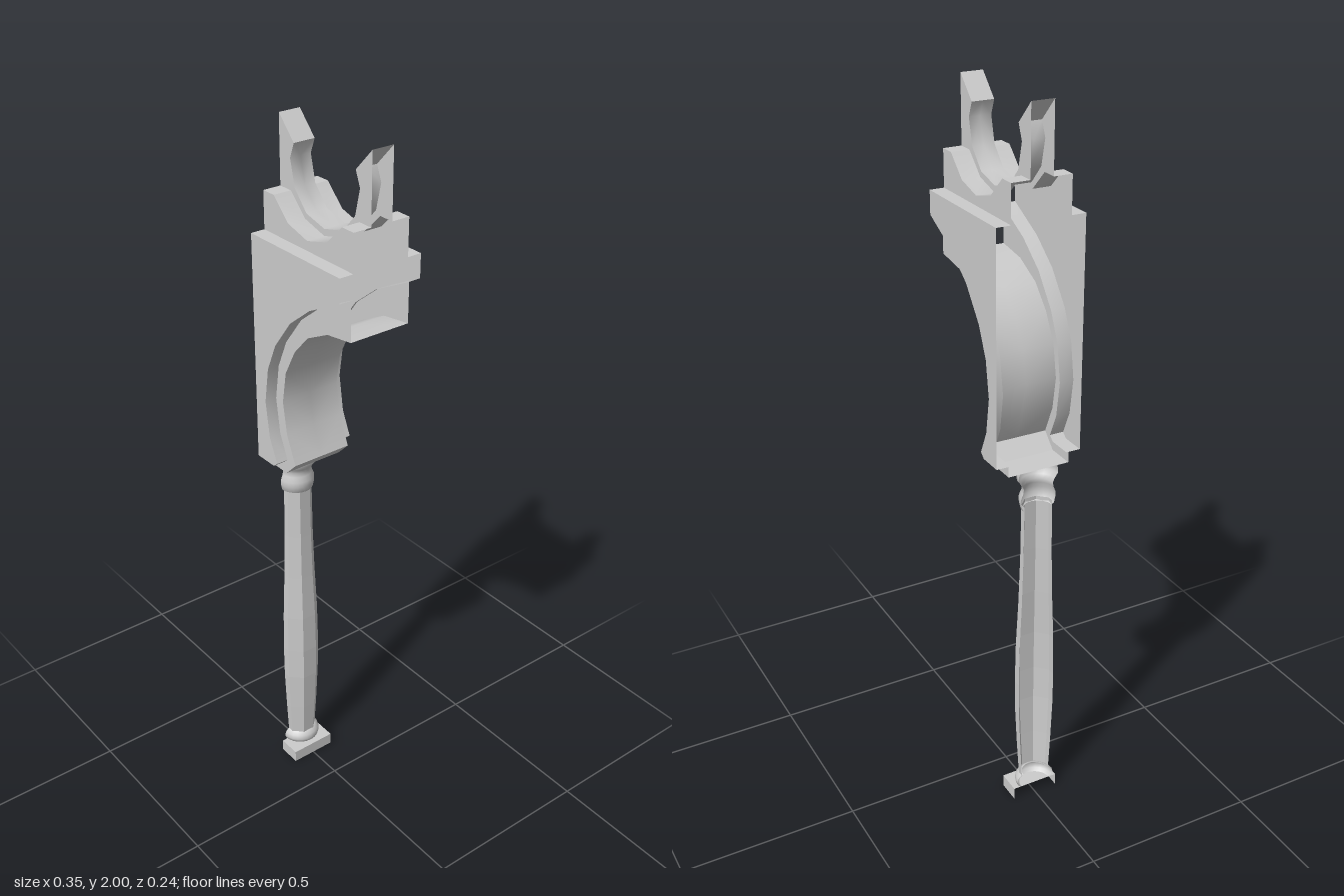
import * as THREE from 'three';
import { toCreasedNormals } from 'three/addons/utils/BufferGeometryUtils.js';

const E = 0.175; // half width: the module is left open at x = -E and x = +E
const side = THREE.DoubleSide;
const smooth = new THREE.MeshStandardMaterial({ color: 0xcccccc, side });
const faceted = new THREE.MeshStandardMaterial({ color: 0xcccccc, side, flatShading: true });

// Mirrored pair of faces at z = +-zOut, with rims along the path from zIn to zOut.
// path + closing form a counter-clockwise outline; only the path gets a rim.
function panel(name, path, closing, zIn, zOut) {
  const pos = [];
  const tri = (a, b, c) => {
    pos.push(...a, ...b, ...c);
    for (const p of [a, c, b]) pos.push(p[0], p[1], -p[2]);
  };
  const outline = [...path, ...closing].map(p => new THREE.Vector2(...p));
  const at = i => [outline[i].x, outline[i].y, zOut];
  for (const [a, b, c] of THREE.ShapeUtils.triangulateShape(outline, [])) tri(at(a), at(b), at(c));
  for (let i = 0; i < path.length - 1; i++) {
    const [a, b] = [path[i], path[i + 1]];
    if (Math.abs(a[0]) === E && a[0] === b[0]) continue; // open end
    tri([...a, zIn], [...b, zIn], [...b, zOut]);
    tri([...a, zIn], [...b, zOut], [...a, zOut]);
  }
  const geo = new THREE.BufferGeometry();
  geo.setAttribute('position', new THREE.Float32BufferAttribute(pos, 3));
  const mesh = new THREE.Mesh(toCreasedNormals(geo, 0.7), smooth);
  mesh.name = name;
  return mesh;
}

// Half of a turned form, on the +x side of the open end
function halfLathe(name, points, segments, material) {
  const geo = new THREE.LatheGeometry(points.map(p => new THREE.Vector2(...p)), segments, 0, Math.PI);
  const mesh = new THREE.Mesh(geo, material);
  mesh.position.x = -E;
  mesh.name = name;
  return mesh;
}

// Right half of a symmetric edge, continued to the left half
const mirrorPath = half => [...half, ...half.slice(0, -1).reverse().map(([x, y]) => [-x, y])];

export function createModel() {
  const model = new THREE.Group();

  // Arch: wide outer wall and a narrower soffit band below it
  const wallArch = [[-E, 1.09], [-0.105, 1.09], [-0.09, 1.103], [-0.12, 1.17], [-0.135, 1.27],
    [-0.12, 1.37], [-0.085, 1.45], [-0.02, 1.535], [0.06, 1.598], [E, 1.656]];
  const soffitArch = [[-E, 1.06], [-0.095, 1.06], [-0.055, 1.1], [-0.09, 1.18], [-0.105, 1.27],
    [-0.09, 1.36], [-0.05, 1.435], [0.005, 1.495], [0.085, 1.535], [E, 1.548]];
  model.add(panel('archWall', [...wallArch, [E, 1.72], [-E, 1.72]], [], 0.082, 0.122));
  model.add(panel('archSoffit', soffitArch, [...wallArch].reverse(), 0, 0.088));

  // Parapet: stepped collar with a scoop, and the pointed crest inside it
  const scoop = mirrorPath([[E, 1.82], [0.132, 1.82], [0.075, 1.765], [0, 1.745]]);
  const crest = mirrorPath([[E, 2], [0.117, 1.94], [0.133, 1.9], [0.116, 1.83], [0.07, 1.78], [0, 1.763]]);
  model.add(panel('parapetCollar', scoop, [[-E, 1.72], [E, 1.72]], 0.031, 0.082));
  model.add(panel('parapetCrest', crest, [...scoop].reverse(), 0, 0.031));

  // Column foot, open underneath
  model.add(panel('columnPlinth', [[-0.108, 0], [-0.108, 0.036], [-E, 0.036]], [[-E, 0]], 0, 0.068));
  model.add(halfLathe('columnBaseRing', [[0.045, 0.036], [0.055, 0.043], [0.058, 0.054],
    [0.055, 0.066], [0.046, 0.075], [0.038, 0.077]], 12, smooth));

  // Octagonal shaft with a swelling; every second vertex is a corner
  const shaft = halfLathe('columnShaft', [[0.043, 0.07], [0.049, 0.18], [0.054, 0.3], [0.055, 0.4],
    [0.053, 0.52], [0.047, 0.66], [0.043, 0.8], [0.041, 0.96]], 8, faceted);
  const p = shaft.geometry.attributes.position;
  const cornerScale = 1 / Math.cos(Math.PI / 8);
  for (let i = 0; i < p.count; i++) {
    const step = Math.round(Math.atan2(p.getX(i), p.getZ(i)) / (Math.PI / 8));
    if (step % 2) p.setXYZ(i, p.getX(i) * cornerScale, p.getY(i), p.getZ(i) * cornerScale);
  }
  model.add(shaft);

  // Column head
  model.add(halfLathe('columnCapital', [[0.04, 0.948], [0.047, 0.952], [0.051, 0.97], [0.051, 0.985],
    [0.045, 1.0], [0.043, 1.012], [0.048, 1.024], [0.057, 1.036], [0.058, 1.05], [0.055, 1.06]], 12, smooth));
  return model;
}
